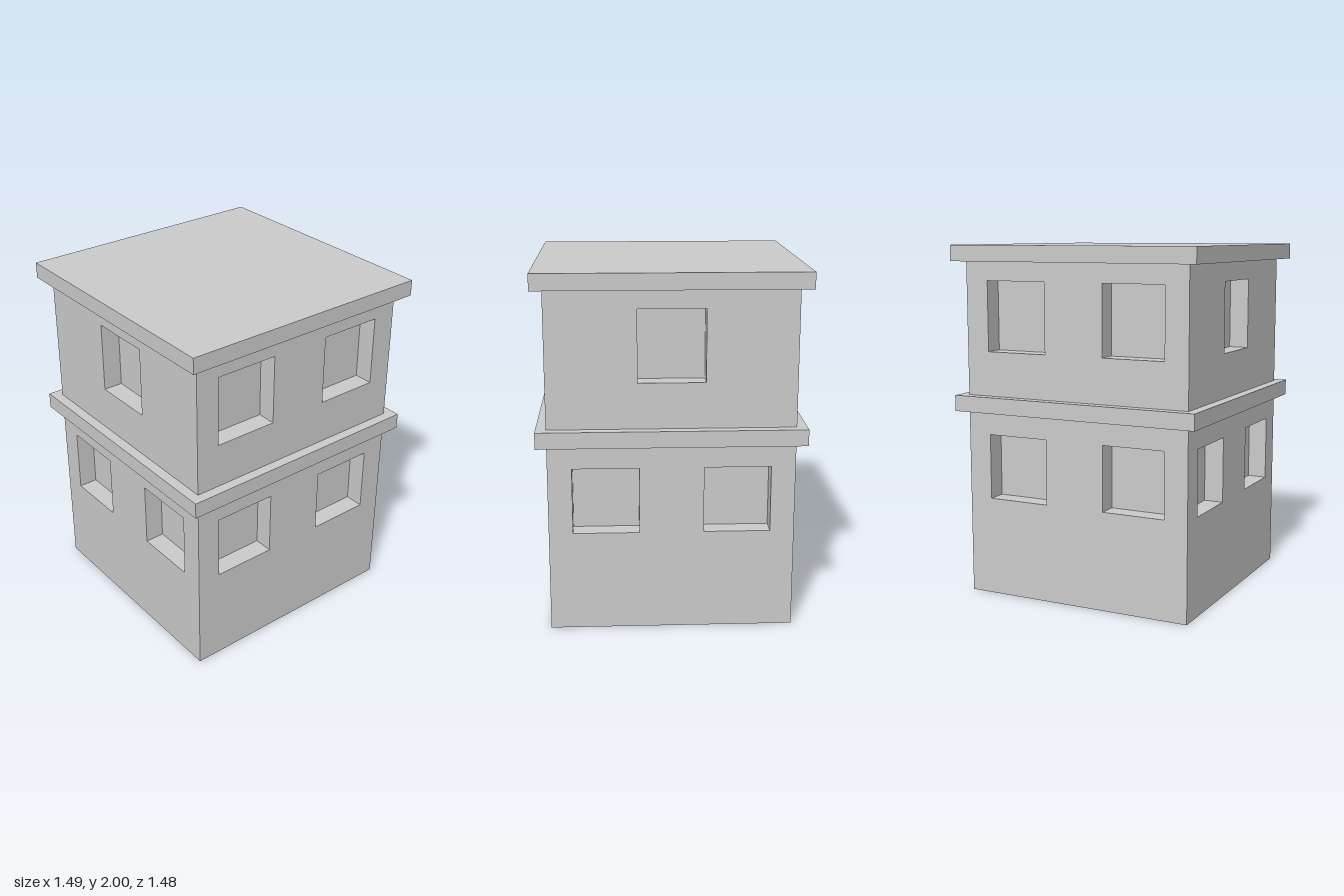
import * as THREE from 'three';

const HALF_X = 0.68, HALF_Z = 0.676; // half footprint of the walls
const WALL_TOP = 1.91;
const RECESS = 0.11; // depth of the window niches
const WIN_W = 0.366;

const material = new THREE.MeshStandardMaterial({ color: 0xcccccc, flatShading: true });

function addBox(group, name, w, y0, y1, d) {
  const mesh = new THREE.Mesh(new THREE.BoxGeometry(w, y1 - y0, d), material);
  mesh.name = name;
  mesh.position.y = (y0 + y1) / 2;
  group.add(mesh);
}

// Rectangular outline, used for wall panels and window openings
function rect(target, x0, y0, x1, y1) {
  target.moveTo(x0, y0).lineTo(x1, y0).lineTo(x1, y1).lineTo(x0, y1).closePath();
  return target;
}

// Wall panel with window openings; its inner side is mitred at both ends
function wallGeometry(half, lowerXs, upperXs) {
  const shape = rect(new THREE.Shape(), -half, 0, half, WALL_TOP);
  const cut = (xs, y0, y1) => xs.forEach((x) =>
    shape.holes.push(rect(new THREE.Path(), x - WIN_W / 2, y0, x + WIN_W / 2, y1)));
  cut(lowerXs, 0.562, 0.933);
  cut(upperXs, 1.407, 1.803);
  const geo = new THREE.ExtrudeGeometry(shape, { depth: RECESS, bevelEnabled: false });
  const pos = geo.attributes.position;
  for (let i = 0; i < pos.count; i++) {
    const x = pos.getX(i);
    if (pos.getZ(i) < RECESS / 2 && Math.abs(x) > half - 0.001) {
      pos.setX(i, x - Math.sign(x) * RECESS);
    }
  }
  geo.computeVertexNormals();
  return geo;
}

export function createModel() {
  const group = new THREE.Group();
  group.name = 'building';

  // Inner core: closes the backs of the window niches
  addBox(group, 'core', 2 * (HALF_X - RECESS), 0, WALL_TOP, 2 * (HALF_Z - RECESS));

  // Four walls: pairs of windows, with a single upper window on the sides
  const pair = [-0.36, 0.36];
  const longWall = wallGeometry(HALF_X, pair, pair);
  const sideWall = wallGeometry(HALF_Z, pair, [0]);
  ['frontWall', 'leftWall', 'backWall', 'rightWall'].forEach((name, i) => {
    const wall = new THREE.Mesh(i % 2 ? sideWall : longWall, material);
    wall.name = name;
    wall.rotation.y = i * Math.PI / 2;
    wall.translateZ((i % 2 ? HALF_X : HALF_Z) - RECESS);
    group.add(wall);
  });

  // Ledge between the storeys and the flat roof slab
  addBox(group, 'ledge', 1.476, 1.064, 1.155, 1.466);
  addBox(group, 'roof', 1.487, WALL_TOP, 2, 1.477);

  return group;
}
